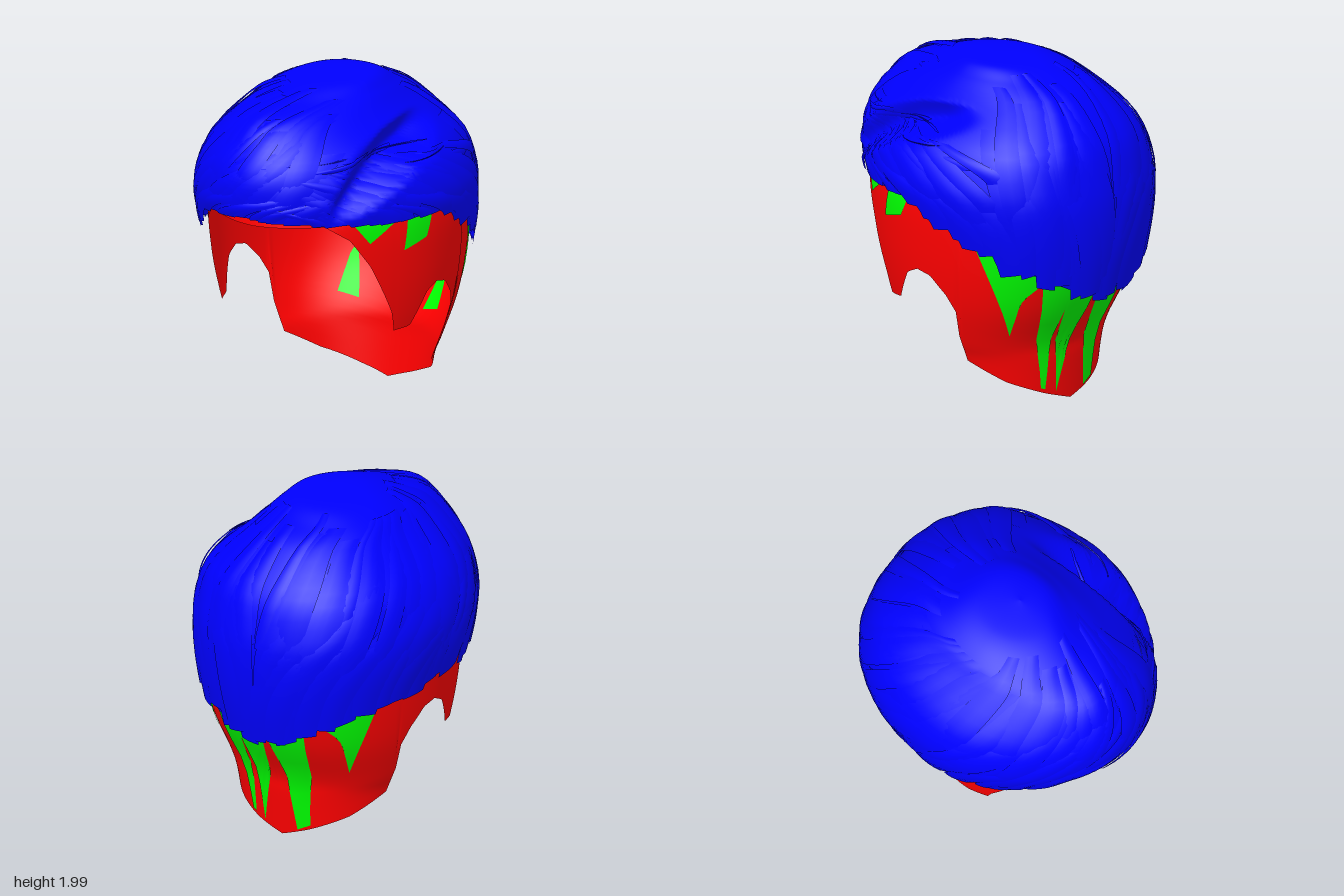
import * as THREE from 'three';
import { mergeGeometries } from 'three/addons/utils/BufferGeometryUtils.js';

const RAD = Math.PI / 180;
const { lerp, smoothstep } = THREE.MathUtils;

// Horizontal rings from bottom to crown: [y, extent -x, extent +x, extent +z, extent -z]
const CAP = [
  [0, .48, .52, .7, .55], [.26, .51, .56, .75, .58], [.4, .57, .62, .78, .6], [.65, .64, .69, .8, .73],
  [.95, .675, .725, .84, .81], [1.25, .69, .72, .86, .82], [1.5, .63, .63, .8, .75],
  [1.72, .43, .4, .62, .57], [1.86, .24, .22, .36, .36], [1.92, 0, 0, 0, 0],
];
const HAIR = [
  [.55, .67, .68, .7, .8], [.9, .72, .735, .8, .86], [1.2, .765, .765, .87, .875], [1.4, .75, .75, .9, .845],
  [1.6, .655, .66, .86, .775], [1.8, .45, .43, .71, .59], [1.9, .34, .33, .46, .41],
  [1.97, .17, .24, .24, .24], [1.99, -.08, .08, 0, 0],
];
// Lower edges: [azimuth in degrees from the front towards +x, y]
const CAP_EDGE = [[0, 1.25], [34, 1.26], [45, 1.17], [54, 1], [65, .7], [67.5, .58], [76, .59], [84, .78],
  [90, .82], [97, .8], [105, .7], [110, .6], [112.5, .27], [135, .15], [160, .06], [180, 0]];
const HAIR_EDGE = [[-180, .7], [-165, .74], [-150, .82], [-135, .9], [-110, 1], [-90, 1.05], [-72, 1.05],
  [-50, 1.13], [-38, 1.22], [-25, 1.29], [0, 1.3], [45, 1.27], [90, 1.26], [105, 1.18], [118, 1.08],
  [135, .93], [150, .83], [165, .73], [180, .7]];
// Parting on the +x side: [z, y]
const PART = [[-.3, 1.8], [0, 1.69], [.2, 1.64], [.45, 1.5], [.7, 1.34]];

function table(points, x) {
  let i = 0;
  while (i < points.length - 2 && x > points[i + 1][0]) i++;
  const [x0, y0] = points[i], [x1, y1] = points[i + 1];
  return lerp(y0, y1, THREE.MathUtils.clamp((x - x0) / (x1 - x0), 0, 1));
}

const capEdge = a => table(CAP_EDGE, Math.abs(a));
const wrap = a => ((a + 540) % 360 + 360) % 360 - 180;
const hairEdge = a => table(HAIR_EDGE, wrap(a));

// Catmull-Rom value of one ring component at level u
function level(rings, u, k) {
  const n = rings.length - 1, i = Math.min(Math.floor(u), n - 1), t = u - i;
  const p = j => rings[Math.min(Math.max(j, 0), n)][k];
  const a = p(i - 1), b = p(i), c = p(i + 1), d = p(i + 2);
  return b + .5 * t * (c - a + t * (2 * a - 5 * b + 4 * c - d + t * (3 * (b - c) + d - a)));
}

function levelAt(rings, y) {
  let lo = 0, hi = rings.length - 1;
  for (let i = 0; i < 24; i++) {
    const m = (lo + hi) / 2;
    if (level(rings, m, 0) < y) lo = m; else hi = m;
  }
  return lo;
}

// Point on a head-shaped surface, pushed outwards by off
function skin(rings, a, u, off = 0) {
  const [y, l, r, f, b] = [0, 1, 2, 3, 4].map(k => level(rings, u, k));
  const s = Math.sin(a * RAD), c = Math.cos(a * RAD);
  // slightly narrower at the front corners, squarer at the back
  const q = 1 - .035 * Math.sign(c) * Math.sin(2 * a * RAD) ** 2;
  const p = new THREE.Vector3((r - l) / 2 + (l + r) / 2 * s * q, y, (c > 0 ? f : b) * c * q);
  // steep wall above the parting, stepping out to the side section below it
  const d = p.y - table(PART, p.z);
  const wall = (rings === HAIR ? .435 : .38) + .045 * smoothstep(d, 0, .14);
  if (p.x > wall) {
    const hold = smoothstep(p.z, -.4, .02) * (1 - smoothstep(-d, .01, .11));
    p.x = lerp(p.x, wall + .08 * (p.x - wall), hold);
  }
  const out = new THREE.Vector3(p.x, Math.max(p.y - 1.1, 0), p.z).normalize();
  return p.addScaledVector(out, off);
}

// Grid surface from point(s, t), both in 0..1
function grid(nx, ny, point) {
  const pos = [], idx = [];
  for (let j = 0; j <= ny; j++) for (let i = 0; i <= nx; i++) pos.push(...point(i / nx, j / ny).toArray());
  for (let j = 0; j < ny; j++) for (let i = 0; i < nx; i++) {
    const a = j * (nx + 1) + i, b = a + nx + 1;
    idx.push(a, a + 1, b, a + 1, b + 1, b);
  }
  const g = new THREE.BufferGeometry();
  g.setAttribute('position', new THREE.Float32BufferAttribute(pos, 3));
  g.setIndex(idx);
  g.computeVertexNormals();
  return g;
}

// Four-cornered patch lying on the cap; corners are [azimuth, y]
function patch(off, [A, B, C, D]) {
  return grid(8, 8, (s, t) => {
    const mix = k => lerp(lerp(A[k], B[k], s), lerp(D[k], C[k], s), t);
    return skin(CAP, mix(0), levelAt(CAP, mix(1)), off);
  });
}

// Lock of hair running from (a0, u0) down to (a1, u1)
function lock(a0, u0, a1, u1, width, lift, skew) {
  return grid(4, 12, (s, t) => {
    const v = s * 2 - 1;
    const a = lerp(a0, a1, 1 - (1 - t) ** 1.6) + v * width * (1 - .25 * t ** 4);
    const u = lerp(u0, u1, t) + skew * t * v;
    return skin(HAIR, a, Math.max(u, 0), .002 + lift * Math.sin(t * 2.6) + .005 * (1 - v * v));
  });
}

export function createModel() {
  const model = new THREE.Group();
  const add = (name, geometry, color) => {
    const mesh = new THREE.Mesh(geometry, new THREE.MeshStandardMaterial({ color, side: THREE.DoubleSide }));
    mesh.name = name;
    model.add(mesh);
  };

  // Scalp cap with sideburns, ear cut-outs and pointed nape
  add('scalpCap', grid(288, 36, (s, t) => {
    const a = s * 360 - 180;
    return skin(CAP, a, lerp(levelAt(CAP, capEdge(a)), CAP.length - 1, t));
  }), 0xff0000);

  // Underlayer on the cap: nape spikes, then sides, behind the ears and inside
  const under = [
    patch(.005, [[148, .95], [167, .95], [159, .09], [156, .1]]),
    patch(.005, [[162, .95], [184, .95], [176, .4], [167, .06]]),
    patch(.005, [[178, .95], [203, .95], [201, .09], [192, .05]]),
  ];
  for (const m of [1, -1]) {
    const side = corners => corners.map(([a, y]) => [a * m, y]);
    under.push(
      patch(.005, side([[46, 1.28], [70, 1.28], [54, 1.14], [54, 1.14]])),
      patch(.005, side([[73, 1.28], [87, 1.28], [82, 1.12], [70, 1.07]])),
      patch(.005, side([[116, 1.12], [152, .84], [140, .7], [138, .46]])),
      patch(-.005, side([[151, .66], [154, .73], [159, .43], [147, .46]])),
    );
  }
  add('underlayer', mergeGeometries(under), 0x00ff00);

  // Main hair volume
  const crown = HAIR.length - 1;
  add('hairVolume', grid(200, 80, (s, t) => {
    const a = s * 360 - 180;
    return skin(HAIR, a, lerp(levelAt(HAIR, hairEdge(a)), crown, t));
  }), 0x0000ff);

  // Overlapping locks: swept from the parting, falling to a ragged lower edge
  let seed = 7;
  const rand = () => (seed = (seed * 16807) % 2147483647) / 2147483647;
  const locks = [];
  const rows = [[52, 1.5, 0], [44, 1.72, .35], [36, 1.88, .9], [26, 1.95, 1.9]];
  for (const [count, yTop, rise] of rows) {
    for (let i = 0; i < count; i++) {
      const a1 = (i + rand() * .7) / count * 360 - 180;
      const nearSide = a1 > 25 && a1 < 135;
      const smooth = a1 > -40 && a1 < 95;
      const sweep = nearSide ? -28 - 14 * rand() : a1 <= 25 ? 22 + 18 * rand() : -15 * rand();
      const yStart = nearSide ? Math.min(yTop, 1.62) : yTop;
      const drop = smooth ? .01 : .06;
      const uEnd = levelAt(HAIR, hairEdge(a1) - drop * rand()) + rise;
      locks.push(lock(a1 + sweep, levelAt(HAIR, yStart - .08 * rand()), a1, uEnd,
        4 + 4 * rand(), .005 + .015 * rand(), smooth ? .02 : .1 * (rand() - .3)));
    }
  }
  add('hairLocks', mergeGeometries(locks), 0x0000ff);

  return model;
}
